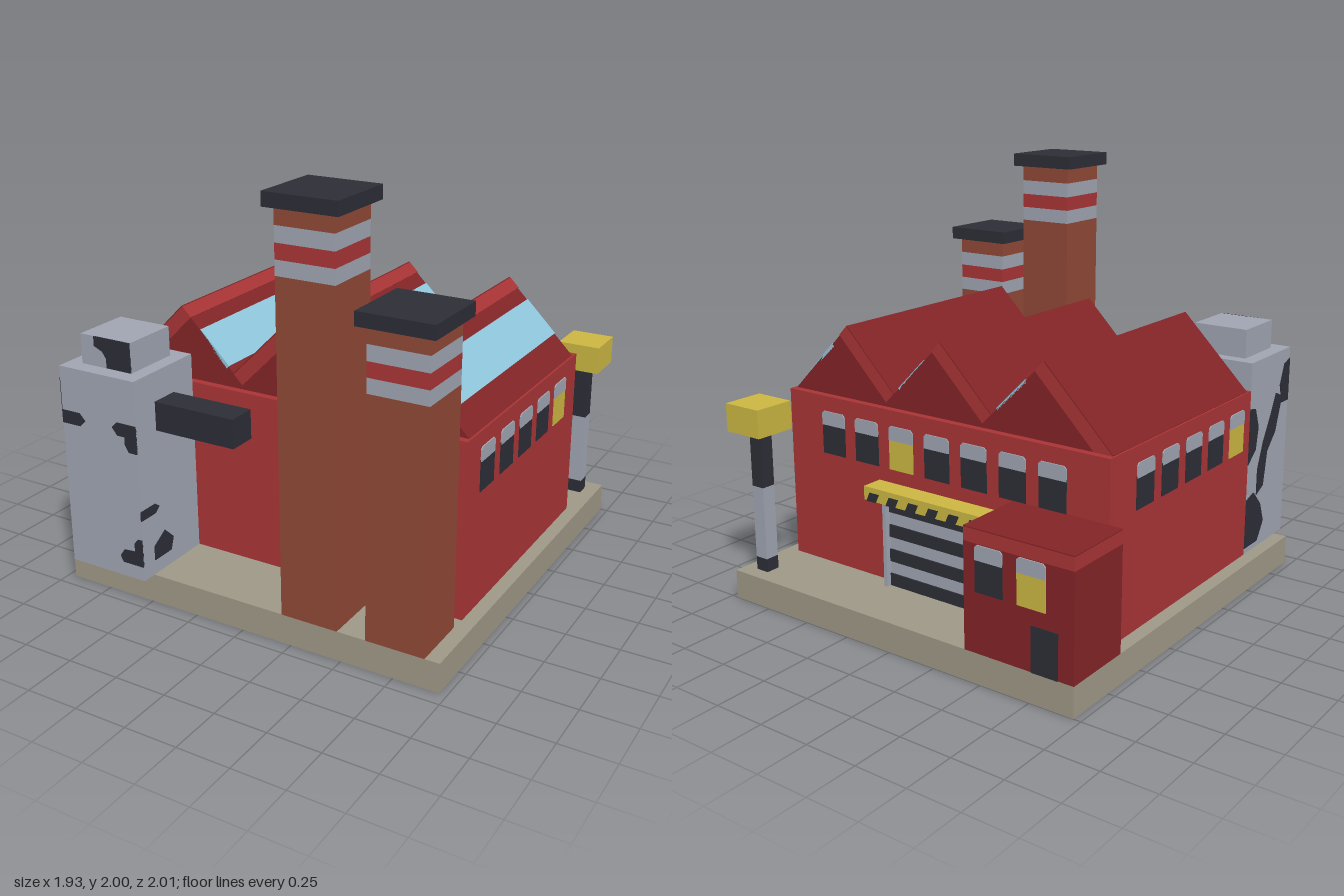
import * as THREE from 'three';

const mat = (name, color) => Object.assign(new THREE.MeshStandardMaterial({ color }), { name });

export function createModel() {
  const root = new THREE.Group();
  root.name = 'factory';
  const M = {
    red: mat('brickRed', 0xa83435), dark: mat('darkRed', 0x822426), brown: mat('chimneyBrown', 0x8f4836),
    grey: mat('steelGrey', 0x9fa4b1), soot: mat('sootBlack', 0x2c2d36), yellow: mat('lampYellow', 0xcab542),
    stone: mat('stone', 0x9e9786), glass: mat('skylightBlue', 0x90c6dc),
  };

  const add = (name, geo, material, parent = root) => {
    const m = new THREE.Mesh(geo, material);
    m.name = name;
    parent.add(m);
    return m;
  };
  // Box given by its limits on each axis
  const box = (name, m, x0, x1, y0, y1, z0, z1, parent = root) => {
    const b = add(name, new THREE.BoxGeometry(x1 - x0, y1 - y0, z1 - z0), m, parent);
    b.position.set((x0 + x1) / 2, (y0 + y1) / 2, (z0 + z1) / 2);
    return b;
  };
  // Outline in x,y extruded from z0 to z1
  const prism = (name, m, pts, z0, z1, parent = root) => {
    const shape = new THREE.Shape(pts.map(p => new THREE.Vector2(...p)));
    const geo = new THREE.ExtrudeGeometry(shape, { depth: z1 - z0, bevelEnabled: false });
    geo.translate(0, 0, z0);
    return add(name, geo, m, parent);
  };
  // Group lying on a wall, its local +z pointing outwards
  const wall = (name, x, z, angle) => {
    const g = new THREE.Group();
    g.name = name;
    g.position.set(x, 0, z);
    g.rotation.y = angle;
    root.add(g);
    return g;
  };
  const addWindow = (parent, x, y, lit) => {
    box('windowPane', lit ? M.yellow : M.soot, x - 0.07, x + 0.07, y, y + 0.15, 0, 0.004, parent);
    prism('windowLintel', M.grey, [[x - 0.07, y + 0.14], [x + 0.07, y + 0.14], [x + 0.07, y + 0.195],
      [x + 0.058, y + 0.207], [x - 0.058, y + 0.207], [x - 0.07, y + 0.195]], 0, 0.006, parent);
  };

  // Ground slab and main hall
  box('base', M.stone, -0.965, 0.965, 0, 0.14, -1, 0.93);
  box('hall', M.red, -0.9, 0.9, 0.14, 0.97, -0.655, 0.585);

  // Sawtooth roof: gable body, slab on the left slope, skylight on the right slope
  [-0.55, 0, 0.55].forEach((p, i) => {
    const z0 = -0.62, z1 = 0.55, l = i ? 0.275 : 0.34;
    const plate = (name, m, a, b, o, e = 0) => {   // thin plate along the right slope
      prism(name, m, [[p + a, 1.31 - a], [p + a - 0.01, 1.3 - a], [p + b - 0.01, 1.3 - b], [p + b, 1.31 - b],
        [p + b + o, 1.31 - b + o], [p + a + o, 1.31 - a + o]], z0 - e, z1 + e);
    };
    prism('roofGable', M.dark, [[p - 0.34, 0.97], [p + 0.34, 0.97], [p, 1.31]], z0, z1);
    prism('roofSlab', M.red, [[p - l, 1.31 - l], [p - l + 0.045, 1.265 - l], [p + 0.047, 1.267], [p + 0.002, 1.312]],
      z0 - 0.003, z1 + 0.003);
    prism('roofCovering', M.dark, [[p - l, 1.31 - l], [p, 1.31], [p - 0.002, 1.315], [p - l - 0.003, 1.313 - l]],
      z0 - 0.003, z1 + 0.003);
    plate('skylight', M.glass, 0.095, 0.245, 0.003);
  });

  // Windows on both sides and the back
  const sides = [wall('leftWindows', 0.9, 0, Math.PI / 2), wall('rightWindows', -0.9, 0, -Math.PI / 2)];
  for (const side of sides) {
    for (let i = 0; i < 5; i++) addWindow(side, -0.38 + i * 0.207, 0.69, i === 4);
  }
  const back = wall('backWindows', 0, -0.655, Math.PI);
  for (let i = 0; i < 7; i++) addWindow(back, (i - 3) * 0.207, 0.69, i === 2);

  // Loading door with slats and striped awning
  box('loadingDoor', M.grey, -0.275, 0.275, 0.14, 0.56, -0.69, -0.655);
  for (let i = 0; i < 4; i++) {
    box('doorSlat', M.soot, -0.275, 0.275, 0.14 + i * 0.12, 0.2 + i * 0.12, -0.697, -0.69);
  }
  for (const s of [-1, 1]) {
    const x = s * 0.265;
    box('doorJamb', M.grey, x - 0.01, x + 0.01, 0.14, 0.56, -0.72, -0.69);
  }
  box('awning', M.yellow, -0.345, 0.345, 0.56, 0.625, -0.76, -0.655);
  const awning = wall('awningStripes', 0, -0.76, Math.PI);
  for (let i = 0; i < 6; i++) {
    const x = -0.33 + i * 0.115;
    prism('awningStripe', M.soot, [[x, 0.558], [x + 0.055, 0.558], [x + 0.075, 0.6], [x + 0.02, 0.6]], -0.06, 0.003, awning);
  }

  // Office annex at the back
  box('annex', M.dark, -0.965, -0.42, 0.14, 0.625, -1, -0.655);
  box('annexParapet', M.red, -0.965, -0.42, 0.625, 0.685, -1, -0.655);
  box('annexRoof', M.dark, -0.965, -0.42, 0.685, 0.69, -1, -0.655);
  const annex = wall('annexDetails', 0, -1, Math.PI);
  addWindow(annex, 0.55, 0.415, false);
  addWindow(annex, 0.76, 0.415, true);
  box('annexDoor', M.soot, 0.76, 0.89, 0.14, 0.345, 0, 0.004, annex);

  // Chimneys with banded tops
  for (const [x, top] of [[0.343, 1.94], [0.757, 1.525]]) {
    const z = 0.793;
    const part = (name, m, r, y0, y1) => box(name, m, x - r, x + r, y0, y1, z - r, z + r);
    const ys = [top - 0.28, top - 0.213, top - 0.145, top - 0.075];
    part('chimneyStack', M.brown, 0.138, 0.14, ys[0]);
    for (let i = 0; i < 3; i++) part('chimneyBand', i === 1 ? M.red : M.grey, 0.138, ys[i], ys[i + 1]);
    part('chimneyNeck', M.brown, 0.138, ys[3], top);
    part('chimneyCap', M.soot, 0.173, top, top + 0.062);
  }

  // Tank tower, its cap and duct
  box('tower', M.grey, -0.9, -0.485, 0.14, 1.105, 0.585, 1);
  box('towerCap', M.grey, -0.83, -0.555, 1.105, 1.245, 0.65, 0.925);
  box('duct', M.soot, -0.485, -0.07, 0.83, 0.967, 0.725, 0.862);

  // Soot patches on the tower
  const T = 0.003;
  const patches = {
    front: [wall('frontSoot', 0, 1 - T, 0), [
      [[-0.9, 0.835], [-0.8, 0.835], [-0.77, 0.865], [-0.8, 0.897], [-0.9, 0.897]],
      [[-0.485, 0.765], [-0.53, 0.765], [-0.55, 0.8], [-0.55, 0.835], [-0.59, 0.835], [-0.618, 0.87], [-0.59, 0.897], [-0.485, 0.897]],
      [[-0.485, 0.21], [-0.6, 0.21], [-0.615, 0.24], [-0.59, 0.275], [-0.53, 0.28], [-0.53, 0.32], [-0.51, 0.345], [-0.485, 0.345]],
    ]],
    cap: [wall('capSoot', 0, 0.925 - T, 0), [
      [[-0.555, 1.107], [-0.69, 1.107], [-0.69, 1.15], [-0.71, 1.18], [-0.755, 1.2], [-0.755, 1.245], [-0.555, 1.245]],
    ]],
    right: [wall('rightSoot', -0.9 + T, 0, -Math.PI / 2), [
      [[1, 0.835], [0.93, 0.835], [0.9, 0.93], [0.94, 1.03], [1, 1.05]],
      [[0.93, 0.87], [0.87, 0.7], [0.79, 0.62], [0.76, 0.45], [0.69, 0.42], [0.69, 0.55], [0.74, 0.68], [0.81, 0.8], [0.86, 0.9]],
      [[0.585, 0.6], [0.66, 0.66], [0.68, 0.77], [0.64, 0.87], [0.585, 0.88]],
      [[0.585, 0.17], [0.72, 0.17], [0.78, 0.26], [0.74, 0.36], [0.66, 0.44], [0.585, 0.42]],
    ]],
    left: [wall('leftSoot', -0.485 - T, 0, Math.PI / 2), [
      [[-1, 0.44], [-0.9, 0.44], [-0.87, 0.465], [-0.9, 0.487], [-1, 0.487]],
      [[-0.585, 0.84], [-0.68, 0.84], [-0.72, 0.865], [-0.68, 0.895], [-0.585, 0.895]],
      [[-0.92, 0.21], [-0.8, 0.21], [-0.78, 0.27], [-0.84, 0.33], [-0.92, 0.28]],
    ]],
  };
  for (const [group, shapes] of Object.values(patches)) {
    for (const pts of shapes) prism('sootPatch', M.soot, pts, 0, 2 * T, group);
  }

  // Lamp post in the back corner
  const post = (m, y0, y1) => box('lampPost', m, 0.825, 0.895, y0, y1, -0.93, -0.86);
  post(M.soot, 0.14, 0.205);
  post(M.grey, 0.205, 0.56);
  post(M.soot, 0.56, 0.83);
  box('lampHead', M.yellow, 0.757, 0.965, 0.83, 0.965, -1, -0.795);

  return root;
}
